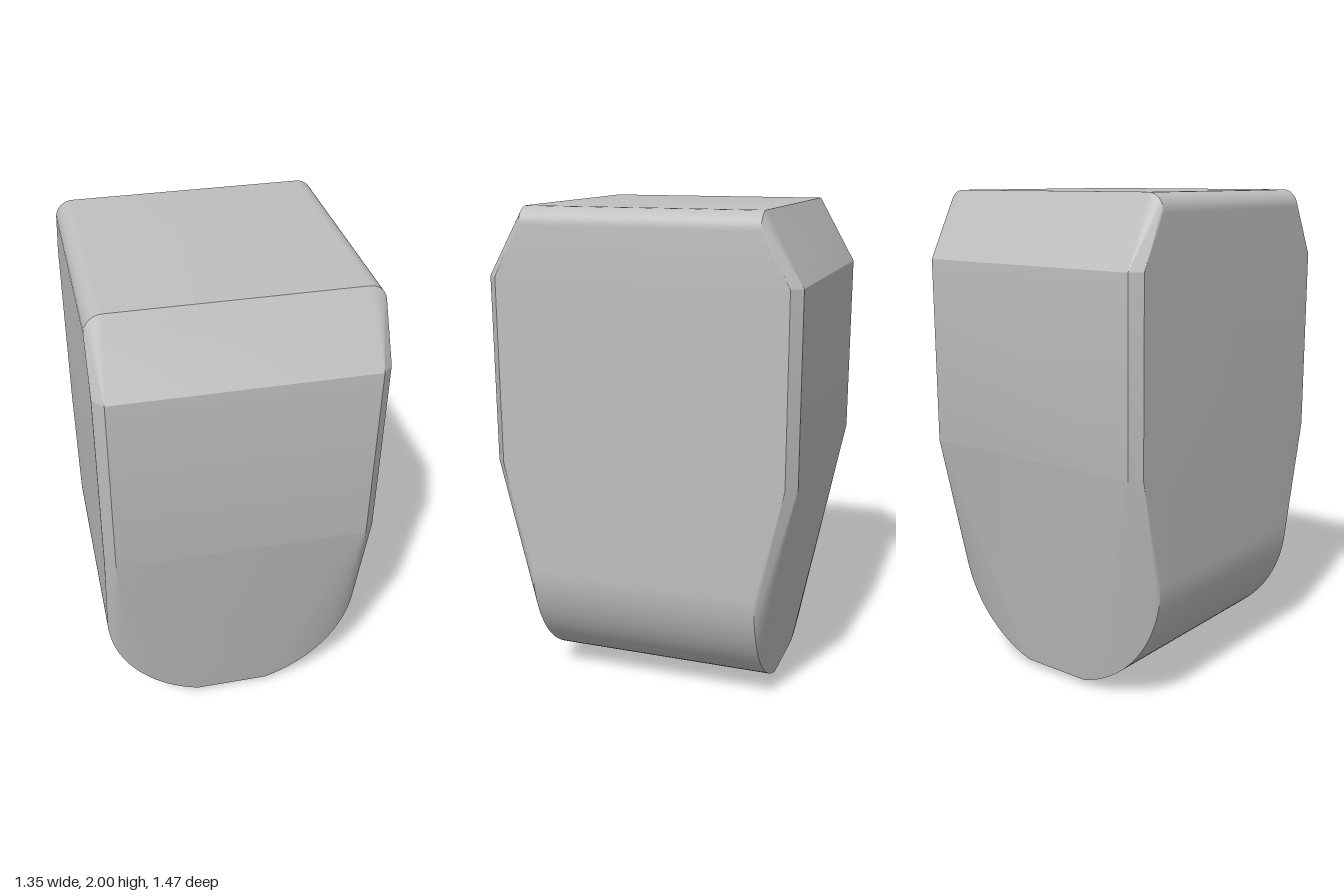
import * as THREE from 'three';
import { ConvexGeometry } from 'three/addons/geometries/ConvexGeometry.js';
import { toCreasedNormals } from 'three/addons/utils/BufferGeometryUtils.js';

const HALF_W = 0.54;   // side walls
const RIM_Z = 0.473;   // where the side profile ends and the end faces begin

export function createModel() {
  const group = new THREE.Group();
  const grey = new THREE.MeshStandardMaterial({ color: 0xbfbfbf });
  grey.name = 'light grey';

  const points = [];
  const mirrored = (x, y, z) => {
    for (const sx of [-1, 1]) for (const sz of [-1, 1]) points.push(new THREE.Vector3(sx * x, y, sz * z));
  };

  // round underside, clipped at both ends by a small bevel
  const steps = 28;
  const start = Math.asin(0.155 / HALF_W);
  for (let i = 0; i <= steps; i++) {
    const a = start + (Math.PI / 2 - start) * i / steps;
    mirrored(HALF_W * Math.sin(a), HALF_W * (1 - Math.cos(a)) + 0.007 * (1 - i / steps), RIM_Z);
  }
  for (let i = 0; i < 4; i++) {
    const a = start * i / 4;
    mirrored(HALF_W * Math.sin(a), HALF_W * (1 - Math.cos(a)), 0.36 + 0.028 * i);
  }

  // rounded upper side edges
  const r = 0.07;
  for (let i = 0; i <= 8; i++) {
    const a = Math.PI / 2 * i / 8;
    mirrored(HALF_W - r + r * Math.cos(a), 2 - r + r * Math.sin(a), RIM_Z);
  }

  // upright end panels with bevelled corners
  for (const y of [0.98, 1.73]) {
    mirrored(HALF_W, y, 0.584);
    mirrored(0.5, y, 0.625);
  }

  // shallow peak on the lower front
  points.push(new THREE.Vector3(0, 0.4, 0.55));

  const body = new THREE.Mesh(toCreasedNormals(new ConvexGeometry(points), 0.2), grey);
  body.name = 'body';
  body.rotation.y = THREE.MathUtils.degToRad(15);
  group.add(body);
  return group;
}
